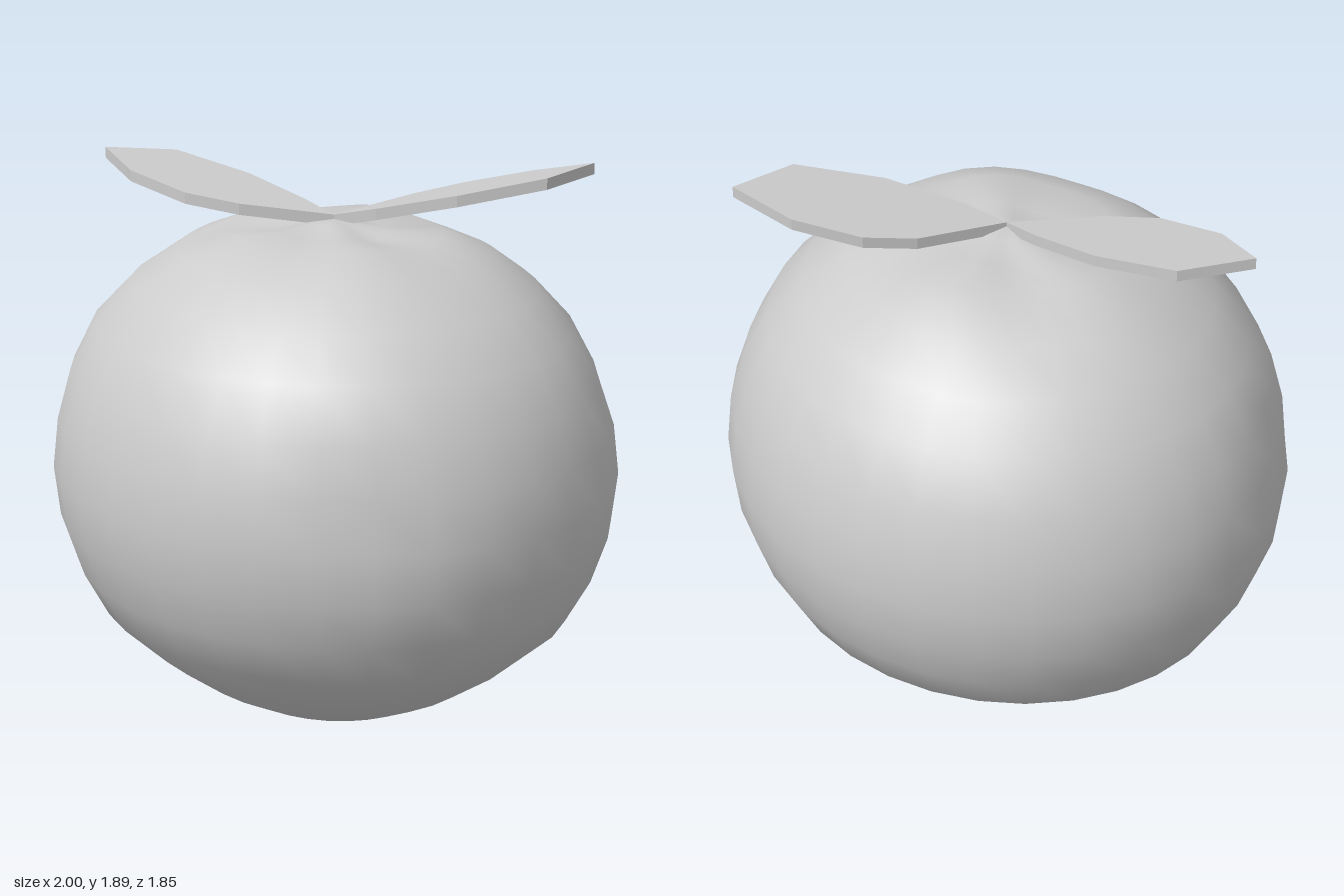
import * as THREE from 'three';
import { mergeVertices } from 'three/addons/utils/BufferGeometryUtils.js';

const grey = (opts = {}) => new THREE.MeshStandardMaterial({ color: 0xcccccc, ...opts });

// Squashed round fruit with a puckered crown and a few shallow dents.
function makeFruit() {
  const profile = [
    [0, 0], [0.2, 0.02], [0.36, 0.07], [0.52, 0.15], [0.68, 0.26], [0.84, 0.4],
    [0.925, 0.55], [0.98, 0.71], [1, 0.88], [0.98, 1.05], [0.93, 1.22], [0.84, 1.38],
    [0.71, 1.51], [0.55, 1.63], [0.38, 1.695], [0.2, 1.695], [0.08, 1.71], [0, 1.72],
  ].map(([r, y]) => new THREE.Vector2(r, y));
  let geo = new THREE.LatheGeometry(profile, 32);
  geo.deleteAttribute('uv');
  geo.deleteAttribute('normal');
  geo = mergeVertices(geo, 1e-4);

  const dents = [
    { at: new THREE.Vector3(0.8, 1.0, 0.6), depth: 0.04 },
    { at: new THREE.Vector3(-0.8, 1.08, 0.6), depth: 0.025 },
    { at: new THREE.Vector3(0.66, 1.32, -0.6), depth: 0.02 },
  ];
  const pos = geo.attributes.position;
  const p = new THREE.Vector3();
  for (let i = 0; i < pos.count; i++) {
    p.fromBufferAttribute(pos, i);
    const r = Math.hypot(p.x, p.z);
    // radial creases around the crown
    if (p.y > 1.6 && r > 0.1) {
      p.y -= 0.018 * (0.5 + 0.5 * Math.cos(5 * Math.atan2(p.z, p.x) + 0.5));
    }
    let squeeze = 1;
    for (const d of dents) squeeze -= d.depth * Math.exp(-p.distanceToSquared(d.at) / 0.03);
    pos.setXYZ(i, p.x * squeeze, p.y, p.z * squeeze * 0.925);
  }
  geo.computeVertexNormals();
  return new THREE.Mesh(geo, grey());
}

// Flat faceted leaf: plan outline in (x, z), tilted by slopes along x and z.
function makeLeaf(outline, slopeX, slopeZ) {
  const shape = new THREE.Shape(outline.map(([x, z]) => new THREE.Vector2(x, -z)));
  const geo = new THREE.ExtrudeGeometry(shape, { depth: 0.038, bevelEnabled: false });
  geo.rotateX(-Math.PI / 2);
  const pos = geo.attributes.position;
  for (let i = 0; i < pos.count; i++) {
    pos.setY(i, pos.getY(i) + 1.697 + slopeX * pos.getX(i) + slopeZ * pos.getZ(i));
  }
  geo.computeVertexNormals();
  return new THREE.Mesh(geo, grey({ flatShading: true }));
}

export function createModel() {
  const model = new THREE.Group();
  model.name = 'fruit';

  const body = makeFruit();
  body.name = 'fruitBody';

  const frontLeaf = makeLeaf([
    [0, 0], [-0.15, 0], [-0.42, 0.03], [-0.7, 0.13], [-0.81, 0.35],
    [-0.59, 0.4], [-0.35, 0.35], [-0.2, 0.24],
  ], -0.18, 0);
  frontLeaf.name = 'frontLeaf';

  const backLeaf = makeLeaf([
    [0, 0], [0.13, -0.07], [0.34, -0.24], [0.51, -0.48],
    [0.48, -0.725], [0.27, -0.64], [0.11, -0.48], [0.04, -0.32],
  ], 0.195, -0.085);
  backLeaf.name = 'backLeaf';

  model.add(body, frontLeaf, backLeaf);
  return model;
}
